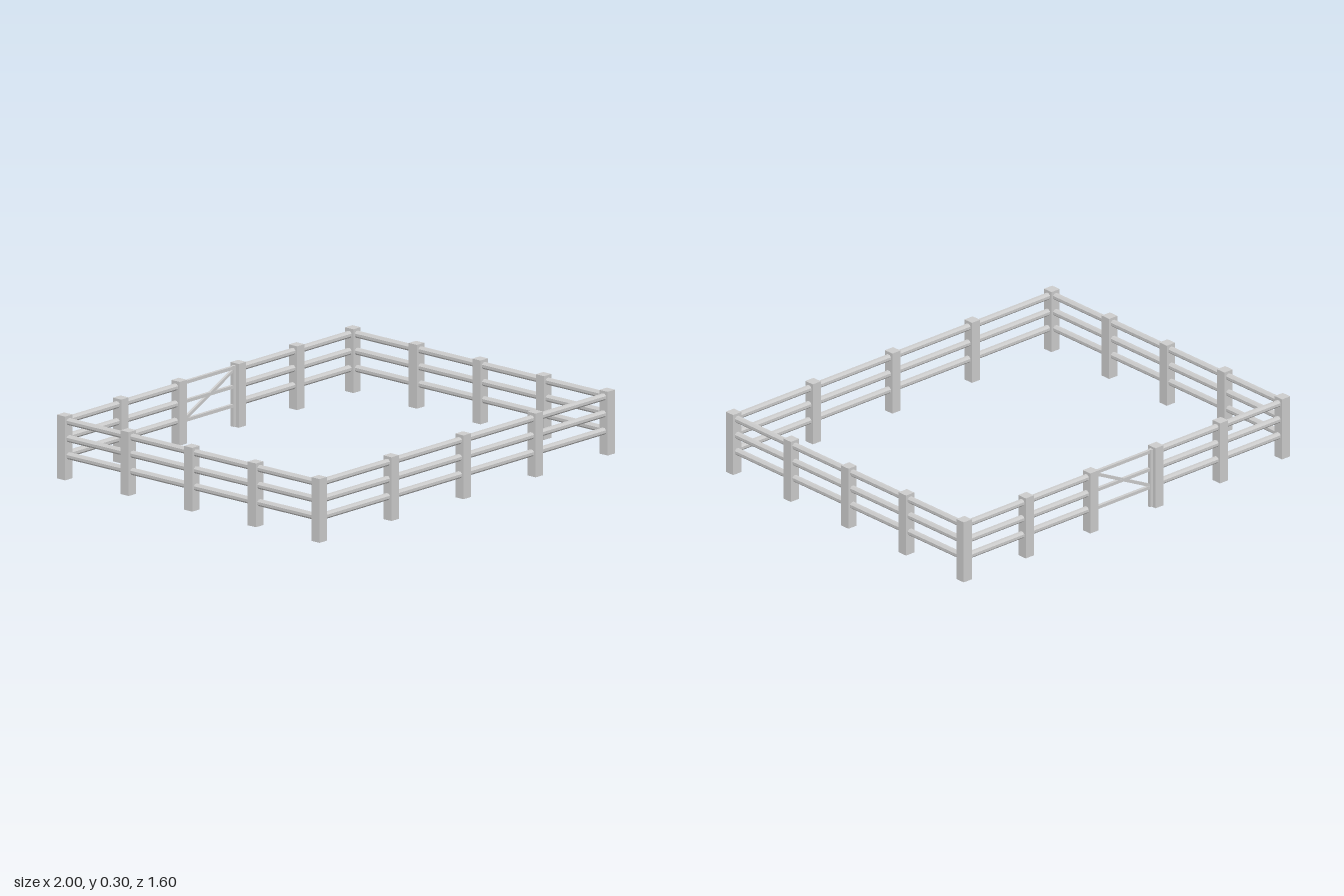
import * as THREE from 'three';

const POST = 0.05, HEIGHT = 0.3, X = 0.975, Z = 0.775;
const RAIL_RADIUS = 0.0165, RAIL_HEIGHTS = [0.111, 0.192, 0.272];

export function createModel() {
  const model = new THREE.Group();
  model.name = 'paddockFence';
  const material = new THREE.MeshStandardMaterial({ color: 0xcccccc, flatShading: true });

  const add = (parent, name, geometry, x, y, z) => {
    const mesh = new THREE.Mesh(geometry, material);
    mesh.name = name;
    mesh.position.set(x, y, z);
    parent.add(mesh);
    return mesh;
  };

  // Square posts
  const postGeometry = new THREE.BoxGeometry(POST, HEIGHT, POST);
  const post = (x, z) => add(model, 'post', postGeometry, x, HEIGHT / 2, z);
  for (const x of [-X, X]) {
    for (let i = -2; i <= 2; i++) post(x, i * Z / 2);
  }
  for (const x of [-X / 2, 0, X / 2]) post(x, Z);
  for (const x of [-0.595, -0.2, 0.2, 0.595]) post(x, -Z);

  // Three round rails per run, from post centre to post centre
  const rails = (x1, z1, x2, z2) => {
    const length = Math.hypot(x2 - x1, z2 - z1);
    const geometry = new THREE.CylinderGeometry(RAIL_RADIUS, RAIL_RADIUS, length, 8);
    geometry.rotateY(Math.PI / 8);
    if (z1 === z2) geometry.rotateZ(Math.PI / 2);
    else geometry.rotateX(Math.PI / 2);
    for (const y of RAIL_HEIGHTS) {
      add(model, 'rail', geometry, (x1 + x2) / 2, y, (z1 + z2) / 2);
    }
  };
  rails(-X, Z, X, Z);
  for (const s of [-1, 1]) {
    rails(s * X, -Z, s * X, Z);
    rails(s * 0.2, -Z, s * X, -Z);
  }

  // Gate in the back run: stiles, slim bars and a diagonal brace
  const gate = new THREE.Group();
  gate.name = 'gate';
  gate.position.z = -Z;
  model.add(gate);
  const stile = new THREE.BoxGeometry(0.017, 0.285, 0.017);
  for (const s of [-1, 1]) add(gate, 'gateStile', stile, s * 0.1665, 0.1475, 0);
  const bar = new THREE.BoxGeometry(0.35, 0.015, 0.015);
  for (const y of [0.103, 0.192, 0.281]) add(gate, 'gateBar', bar, 0, y, 0);
  const brace = new THREE.BoxGeometry(Math.hypot(0.32, 0.156), 0.014, 0.013);
  add(gate, 'gateBrace', brace, 0, 0.19, 0).rotation.z = Math.atan2(0.156, 0.32);

  return model;
}
